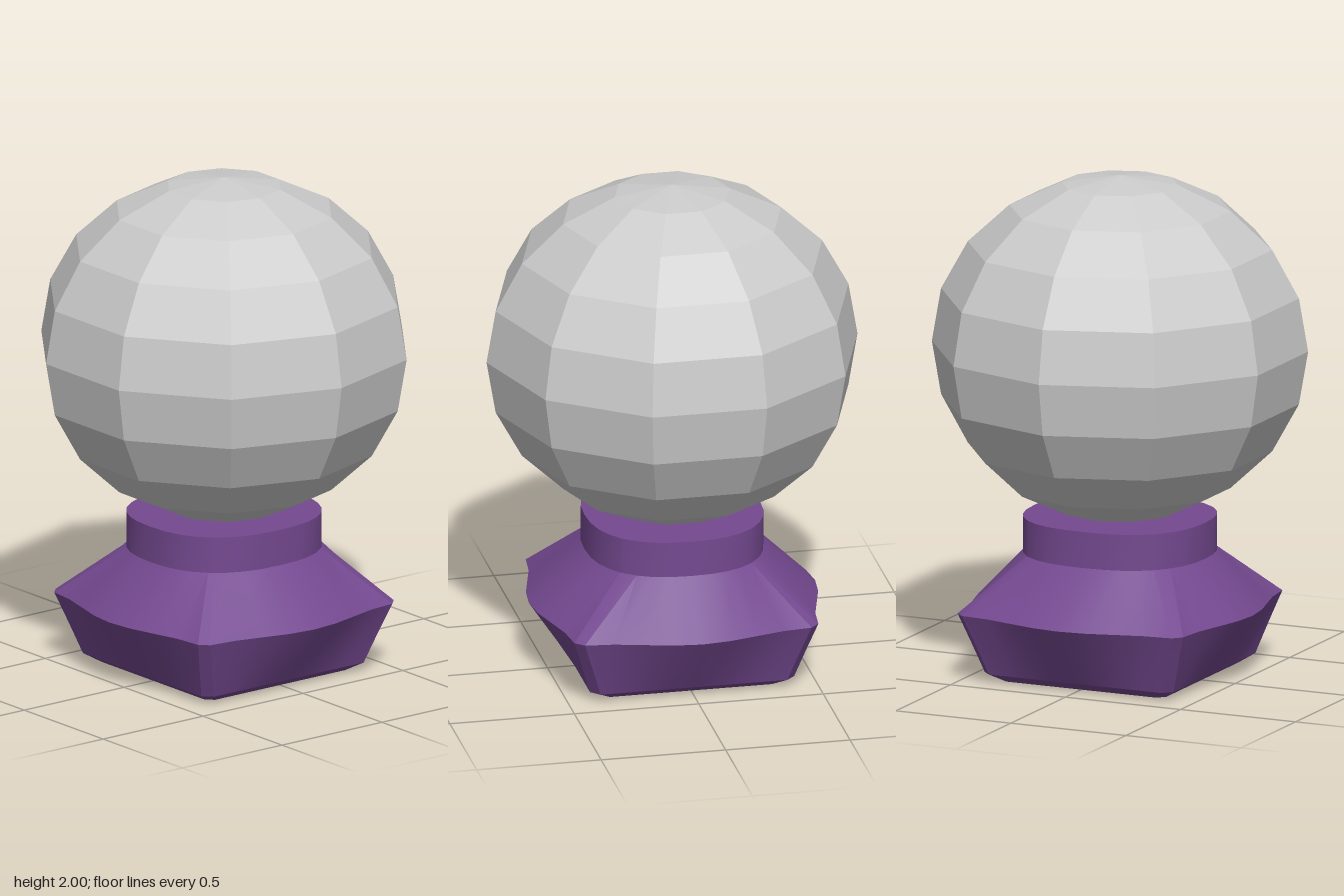
import * as THREE from 'three';
import { toCreasedNormals } from 'three/addons/utils/BufferGeometryUtils.js';

const STEPS = 8; // segments along each of the four sides

// Square ring with clipped corners; each side swells outward in the middle
function squareRing(y, half, clip, bulge = 0) {
  const ring = [];
  for (let side = 0; side < 4; side++) {
    const a = side * Math.PI / 2, c = Math.cos(a), s = Math.sin(a);
    for (let i = 0; i <= STEPS; i++) {
      const t = 2 * i / STEPS - 1;
      const out = half + bulge * Math.cos(t * Math.PI / 2) ** 2;
      const along = t * (half - clip);
      ring.push([out * c - along * s, y, out * s + along * c]);
    }
  }
  return ring;
}

// Rounded ring for the neck, slightly squarish
function neckRing(y, rx, rz) {
  const ring = [], p = 2 / 2.4;
  for (let side = 0; side < 4; side++) {
    for (let i = 0; i <= STEPS; i++) {
      const a = side * Math.PI / 2 + (2 * i / STEPS - 1) * 0.76;
      const c = Math.cos(a), s = Math.sin(a);
      ring.push([
        rx * Math.sign(c) * Math.abs(c) ** p, y,
        rz * Math.sign(s) * Math.abs(s) ** p,
      ]);
    }
  }
  return ring;
}

// Skin a stack of rings from bottom to top
function loft(rings) {
  const n = rings[0].length, index = [];
  for (let r = 0; r < rings.length - 1; r++) {
    for (let i = 0; i < n; i++) {
      const a = r * n + i, b = r * n + (i + 1) % n;
      index.push(a, a + n, b, b, a + n, b + n);
    }
  }
  const geo = new THREE.BufferGeometry();
  geo.setAttribute('position', new THREE.Float32BufferAttribute(rings.flat(2), 3));
  geo.setIndex(index);
  return toCreasedNormals(geo, 0.4);
}

export function createModel() {
  const model = new THREE.Group();
  model.name = 'globeOnPedestal';

  // Ten-sided faceted globe
  const globe = new THREE.Mesh(
    new THREE.SphereGeometry(0.745, 10, 10),
    new THREE.MeshStandardMaterial({ color: 0xcccccc, flatShading: true })
  );
  globe.name = 'globe';
  globe.scale.y = 0.69 / 0.745;
  globe.position.y = 1.31;
  model.add(globe);

  // Pedestal: square foot, scalloped rim, sloping shoulder, round neck
  const base = new THREE.Mesh(
    loft([
      squareRing(0, 0, 0),
      squareRing(0, 0.355, 0.03),
      squareRing(0.035, 0.41, 0.035),
      squareRing(0.16, 0.45, 0.035, 0.045),
      squareRing(0.28, 0.49, 0.035, 0.085),
      neckRing(0.49, 0.352, 0.37),
      neckRing(0.635, 0.352, 0.37),
      neckRing(0.635, 0, 0),
    ]),
    new THREE.MeshStandardMaterial({ color: 0x744990 })
  );
  base.name = 'pedestal';
  model.add(base);

  return model;
}
